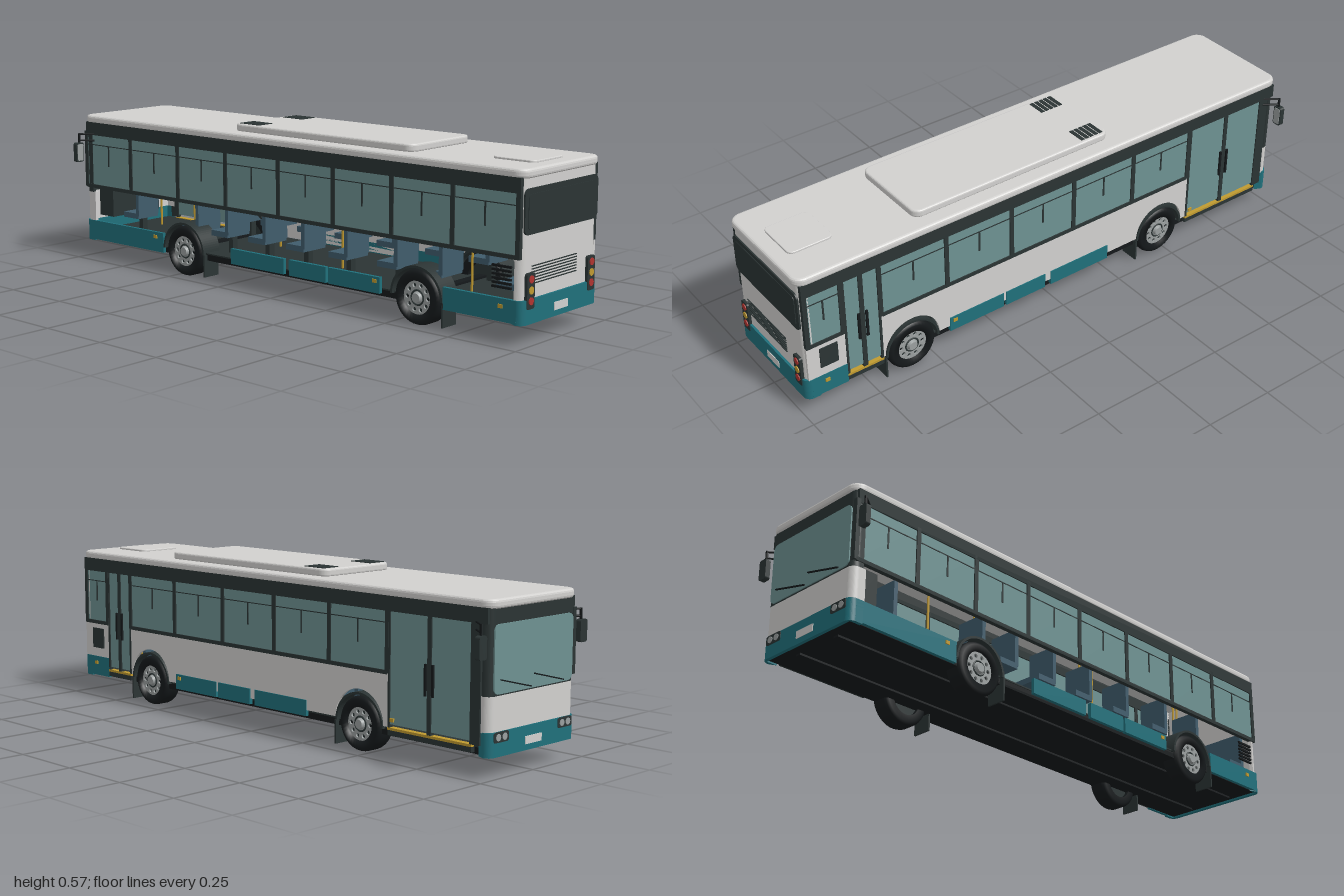
import * as THREE from 'three';

const mat = (name, color, side = THREE.FrontSide) => {
  const m = new THREE.MeshStandardMaterial({ color, side });
  m.name = name;
  return m;
};

export function createModel() {
  const bus = new THREE.Group();
  bus.name = 'cityBus';
  const white = mat('bodyWhite', 0xd2d1cf), teal = mat('skirtTeal', 0x20707b);
  const glass = mat('glass', 0x6e9292), dark = mat('darkTrim', 0x2b3434);
  const black = mat('rubberBlack', 0x15191b), grey = mat('metalGrey', 0x9a9f9f);
  const red = mat('lampRed', 0xb03430), gold = mat('poleAmber', 0xc09a30);
  const blue = mat('seatBlue', 0x405c6c);

  const add = (name, geo, m, x = 0, y = 0, z = 0, parent = bus) => {
    const mesh = new THREE.Mesh(geo, m);
    mesh.name = name;
    mesh.position.set(x, y, z);
    parent.add(mesh);
    return mesh;
  };
  // box given by its limits
  const box = (name, m, x0, x1, y0, y1, z0, z1, parent) =>
    add(name, new THREE.BoxGeometry(x1 - x0, y1 - y0, z1 - z0), m,
      (x0 + x1) / 2, (y0 + y1) / 2, (z0 + z1) / 2, parent);
  const roundRect = (x0, x1, y0, y1, r) => {
    const s = new THREE.Shape();
    s.absarc(x1 - r, y1 - r, r, 0, Math.PI / 2);
    s.absarc(x0 + r, y1 - r, r, Math.PI / 2, Math.PI);
    s.absarc(x0 + r, y0 + r, r, Math.PI, Math.PI * 1.5);
    s.absarc(x1 - r, y0 + r, r, Math.PI * 1.5, Math.PI * 2);
    s.closePath();
    return s;
  };
  // horizontal rounded slab with softened edges
  const slab = (name, m, x0, x1, z0, z1, y0, y1, r, b) => {
    const g = new THREE.ExtrudeGeometry(roundRect(x0 + b, x1 - b, -z1 + b, -z0 - b, r),
      { depth: y1 - y0 - 2 * b, bevelSize: b, bevelThickness: b, bevelSegments: 3, curveSegments: 6 });
    g.rotateX(-Math.PI / 2);
    return add(name, g, m, 0, y0 + b, 0);
  };
  // upright rounded plate on the front (-1) or rear (+1) end
  const endPlate = (name, m, end, x, z0, z1, y0, y1, r, t = 0.006) => {
    const g = new THREE.ExtrudeGeometry(roundRect(-z1, -z0, y0, y1, r),
      { depth: t, bevelEnabled: false, curveSegments: 6 });
    g.rotateY(Math.PI / 2);
    return add(name, g, m, end > 0 ? x : x - t, 0, 0);
  };
  // U-shaped end shell wrapping round both corners
  const endShell = (name, m, end, y0, y1, outX, halfZ, ret) => {
    const s = new THREE.Shape(), r = 0.025, t = 0.012, inX = outX - ret;
    s.moveTo(inX, -halfZ);
    s.absarc(outX - r, -halfZ + r, r, -Math.PI / 2, 0);
    s.absarc(outX - r, halfZ - r, r, 0, Math.PI / 2);
    s.lineTo(inX, halfZ);
    s.lineTo(inX, halfZ - t);
    s.lineTo(outX - t, halfZ - t);
    s.lineTo(outX - t, -halfZ + t);
    s.lineTo(inX, -halfZ + t);
    s.closePath();
    const g = new THREE.ExtrudeGeometry(s, { depth: y1 - y0, bevelEnabled: false, curveSegments: 6 });
    g.rotateX(-Math.PI / 2);
    if (end < 0) g.rotateY(Math.PI);
    return add(name, g, m, 0, y0, 0);
  };

  // roof, air conditioning unit and hatch
  slab('roof', white, -1, 0.995, -0.212, 0.212, 0.51, 0.54, 0.03, 0.01);
  slab('roofUnit', white, -0.26, 0.53, -0.157, 0.157, 0.538, 0.565, 0.025, 0.007);
  slab('roofHatch', white, 0.78, 0.94, -0.083, 0.083, 0.538, 0.547, 0.018, 0.003);
  for (const z of [-0.11, 0.11])
    for (let i = 0; i < 5; i++)
      box('roofVent', dark, -0.24 + i * 0.019, -0.226 + i * 0.019, 0.563, 0.567, z - 0.034, z + 0.034);

  // underbody and floor
  box('underbody', black, -0.98, 0.975, 0.07, 0.092, -0.195, 0.195);
  box('floor', dark, -0.98, 0.975, 0.092, 0.097, -0.198, 0.198);
  for (const z of [-0.09, 0.09]) box('chassisRail', black, -0.95, 0.95, 0.063, 0.07, z - 0.01, z + 0.01);

  // ends
  endShell('frontPanel', white, -1, 0.14, 0.25, 0.993, 0.208, 0.05);
  endShell('frontFrame', dark, -1, 0.25, 0.512, 0.993, 0.208, 0.04);
  endShell('frontBumper', teal, -1, 0.066, 0.142, 0.998, 0.21, 0.05);
  endShell('rearPanel', white, 1, 0.14, 0.512, 0.985, 0.207, 0.03);
  endShell('rearBumper', teal, 1, 0.066, 0.142, 0.993, 0.21, 0.05);
  endPlate('windscreen', glass, -1, -0.992, -0.19, 0.19, 0.255, 0.465, 0.02, 0.005);
  for (const z of [-0.09, 0.07]) {
    const w = box('wiper', black, -0.003, 0.003, -0.002, 0.002, -0.075, 0.075);
    w.position.set(-0.999, 0.28, z);
    w.rotation.x = 0.25;
  }
  endPlate('frontPlate', white, -1, -0.997, -0.04, 0.04, 0.085, 0.11, 0.002, 0.003);
  endPlate('rearWindow', dark, 1, 0.984, -0.2, 0.2, 0.34, 0.48, 0.02);
  endPlate('rearWindowInset', dark, 1, 0.99, -0.183, 0.183, 0.355, 0.463, 0.012, 0.002);
  endPlate('rearPlate', white, 1, 0.991, -0.038, 0.038, 0.085, 0.111, 0.002, 0.004);
  for (let i = 0; i < 7; i++)
    box('engineVent', dark, 0.984, 0.988, 0.186 + i * 0.009, 0.189 + i * 0.009, -0.092, 0.154);
  for (const s of [-1, 1]) {
    const z = s * 0.167;
    endPlate('tailLampPanel', dark, 1, 0.984, z - 0.02, z + 0.02, 0.113, 0.224, 0.008, 0.011);
    [[0.205, red], [0.171, gold], [0.138, red]].forEach(([y, m]) => {
      const l = add('tailLamp', new THREE.CylinderGeometry(0.012, 0.012, 0.004, 20), m, 0.996, y, z);
      l.rotation.z = Math.PI / 2;
    });
    endPlate('headlampPanel', dark, -1, -0.996, s * 0.155 - 0.035, s * 0.155 + 0.035, 0.11, 0.142, 0.008, 0.004);
    for (const d of [-0.015, 0.015]) {
      const l = add('headlamp', new THREE.CylinderGeometry(0.011, 0.011, 0.004, 16), grey, -1, 0.126, s * 0.155 + d);
      l.rotation.z = Math.PI / 2;
    }
    // mirrors
    endPlate('mirrorHousing', dark, -1, -0.98, s * 0.245 - 0.017, s * 0.245 + 0.017, 0.366, 0.438, 0.008, 0.018);
    endPlate('mirrorGlass', grey, 1, -0.98, s * 0.245 - 0.013, s * 0.245 + 0.013, 0.371, 0.433, 0.006, 0.002);
    for (const y of [0.447, 0.47]) {
      const c = new THREE.LineCurve3(new THREE.Vector3(-0.94, y, s * 0.208), new THREE.Vector3(-0.986, y, s * 0.243));
      add('mirrorArm', new THREE.TubeGeometry(c, 1, 0.0035, 6), black);
    }
    box('mirrorStem', black, -0.99, -0.983, 0.43, 0.473, s * 0.243 - 0.003, s * 0.243 + 0.003);
  }

  // side windows: dark rails, pillars, glass with a sliding-pane divider
  const sideBox = (s, name, m, x0, x1, y0, y1, a, b) =>
    box(name, m, x0, x1, y0, y1, Math.min(s * a, s * b), Math.max(s * a, s * b));
  const windows = (s, posts) => {
    posts.forEach((x, i) => {
      sideBox(s, 'windowPillar', dark, x - 0.008, x + 0.008, 0.27, 0.48, 0.195, 0.211);
      if (!i) return;
      const a = posts[i - 1] + 0.008, b = x - 0.008, c = (a + b) / 2;
      sideBox(s, 'sideWindow', glass, a, b, 0.278, 0.468, 0.2, 0.207);
      sideBox(s, 'paneDivider', dark, c - 0.003, c + 0.003, 0.355, 0.43, 0.207, 0.209);
      sideBox(s, 'paneRail', dark, a, b, 0.429, 0.432, 0.207, 0.209);
    });
  };
  for (const s of [-1, 1]) sideBox(s, 'upperBand', dark, -0.985, 0.98, 0.467, 0.515, 0.195, 0.211);
  sideBox(1, 'waistRail', dark, -0.985, 0.98, 0.267, 0.28, 0.195, 0.211);
  sideBox(-1, 'waistRail', dark, -0.585, 0.7, 0.267, 0.28, 0.195, 0.211);
  sideBox(-1, 'waistRail', dark, 0.84, 0.98, 0.267, 0.28, 0.195, 0.211);
  windows(1, [-0.985, -0.74, -0.49, -0.25, 0, 0.245, 0.49, 0.73, 0.972]);
  windows(-1, [-0.585, -0.33, -0.07, 0.19, 0.45, 0.705]);
  windows(-1, [0.845, 0.972]);

  // doors on the kerb side
  const door = (x0, x1) => {
    const mid = (x0 + x1) / 2;
    for (const [a, b] of [[x0, mid], [mid, x1]]) {
      sideBox(-1, 'doorGlass', glass, a + 0.007, b - 0.007, 0.11, 0.467, 0.2, 0.206);
      for (const x of [a + 0.004, b - 0.004])
        sideBox(-1, 'doorFrame', dark, x - 0.004, x + 0.004, 0.1, 0.468, 0.196, 0.21);
    }
    for (const d of [-0.015, 0.015])
      sideBox(-1, 'doorHandle', black, mid + d - 0.004, mid + d + 0.004, 0.22, 0.32, 0.207, 0.213);
    sideBox(-1, 'doorSill', gold, x0, x1, 0.092, 0.1, 0.19, 0.211);
    sideBox(-1, 'doorStep', dark, x0, x1, 0.075, 0.092, 0.19, 0.21);
  };
  door(-0.93, -0.59);
  door(0.705, 0.84);
  sideBox(-1, 'frontPost', dark, -0.96, -0.93, 0.1, 0.48, 0.196, 0.21);

  // kerb-side wall with wheel arches
  const wheelX = [-0.465, 0.592];
  const wall = new THREE.Shape();
  wall.moveTo(-0.59, 0.1);
  for (const x of wheelX) {
    wall.lineTo(x - 0.105, 0.1);
    wall.absarc(x, 0.1, 0.105, Math.PI, 0, true);
  }
  wall.lineTo(0.705, 0.1);
  wall.lineTo(0.705, 0.27);
  wall.lineTo(-0.59, 0.27);
  wall.closePath();
  add('sideWall', new THREE.ExtrudeGeometry(wall, { depth: 0.01, bevelEnabled: false, curveSegments: 20 }), white, 0, 0, -0.208);
  sideBox(-1, 'rearSideWall', white, 0.84, 0.98, 0.14, 0.27, 0.198, 0.208);
  sideBox(-1, 'engineGrille', dark, 0.87, 0.935, 0.175, 0.25, 0.207, 0.212);
  for (let i = 0; i < 6; i++)
    box('engineLouvre', black, 0.88, 0.95, 0.172 + i * 0.013, 0.179 + i * 0.013, 0.203, 0.21);

  // skirts and lockers
  sideBox(1, 'skirt', teal, -0.975, -0.57, 0.07, 0.142, 0.198, 0.21);
  sideBox(1, 'skirt', teal, 0.697, 0.97, 0.07, 0.142, 0.198, 0.21);
  sideBox(-1, 'skirt', teal, 0.84, 0.97, 0.07, 0.142, 0.198, 0.21);
  for (const s of [-1, 1]) {
    for (const [a, b] of [[-0.225, 0.025], [0.05, 0.215], [0.225, 0.445]])
      sideBox(s, 'locker', teal, a, b, 0.08, 0.134, 0.198, 0.211);
    for (const [x, y] of [[-0.61, 0.125], [0.425, 0.12], [0.915, 0.118]])
      sideBox(s, 'sideMarker', gold, x - 0.008, x + 0.008, y - 0.006, y + 0.006, 0.209, 0.214);
  }

  // wheels, arch liners and mud flaps
  const tyreGeo = new THREE.LatheGeometry([[0.055, -0.034], [0.078, -0.035], [0.087, -0.029], [0.09, -0.02],
    [0.09, 0.02], [0.087, 0.029], [0.078, 0.035], [0.055, 0.034], [0.055, -0.034]]
    .map(([x, y]) => new THREE.Vector2(x, y)), 36).rotateX(Math.PI / 2);
  const rim = new THREE.Shape().absarc(0, 0, 0.056, 0, Math.PI * 2);
  for (let i = 0; i < 10; i++) {
    const a = i * Math.PI / 5;
    rim.holes.push(new THREE.Path().absarc(Math.cos(a) * 0.041, Math.sin(a) * 0.041, 0.007, 0, Math.PI * 2, true));
  }
  const rimGeo = new THREE.ExtrudeGeometry(rim, { depth: 0.006, bevelEnabled: false, curveSegments: 24 });
  const arch = new THREE.Shape();
  arch.absarc(0, 0, 0.104, 0, Math.PI);
  arch.absarc(0, 0, 0.096, Math.PI, 0, true);
  arch.closePath();
  const archGeo = new THREE.ExtrudeGeometry(arch, { depth: 0.08, bevelEnabled: false, curveSegments: 20 });
  for (const x of wheelX) {
    box('axle', black, x - 0.015, x + 0.015, 0.075, 0.105, -0.15, 0.15);
    for (const s of [-1, 1]) {
      const w = new THREE.Group();
      w.name = 'wheel';
      w.position.set(x, 0.09, s * 0.173);
      if (s < 0) w.rotation.y = Math.PI;
      add('tyre', tyreGeo, black, 0, 0, 0, w);
      add('rim', rimGeo, grey, 0, 0, 0.022, w);
      const back = new THREE.CylinderGeometry(0.056, 0.056, 0.04, 24).rotateX(Math.PI / 2);
      add('rimBack', back, dark, 0, 0, 0, w);
      add('hubRing', new THREE.TorusGeometry(0.024, 0.003, 6, 20), dark, 0, 0, 0.028, w);
      add('hub', new THREE.CylinderGeometry(0.015, 0.02, 0.012, 20).rotateX(Math.PI / 2), grey, 0, 0, 0.032, w);
      bus.add(w);
      add('archLiner', archGeo, dark, x, 0.09, s > 0 ? 0.13 : -0.21);
      sideBox(s, 'mudFlap', dark, x + 0.101, x + 0.107, 0.01, 0.09, 0.14, 0.21);
    }
  }

  // seats facing forward, driver's station and grab poles
  const seat = (x, z, w) => {
    box('seatCushion', blue, x - 0.05, x + 0.03, 0.16, 0.18, z - w, z + w);
    box('seatBack', blue, x + 0.018, x + 0.033, 0.17, 0.3, z - w, z + w);
    box('seatLeg', dark, x - 0.008, x + 0.012, 0.097, 0.16, z - 0.012, z + 0.012);
  };
  for (const x of [-0.45, -0.3, -0.12, 0.06, 0.25, 0.46, 0.64])
    for (const z of [-0.125, 0.125]) seat(x, z, 0.055);
  seat(-0.8, 0.1, 0.05);
  seat(0.92, 0, 0.17);
  box('dashboard', dark, -0.95, -0.875, 0.16, 0.27, -0.05, 0.18);
  [-0.87, -0.56, -0.24, 0.16, 0.36, 0.7, 0.83].forEach((x, i) =>
    add('grabPole', new THREE.CylinderGeometry(0.004, 0.004, 0.41, 8), gold, x, 0.3, i % 2 ? 0.06 : -0.06));
  return bus;
}
